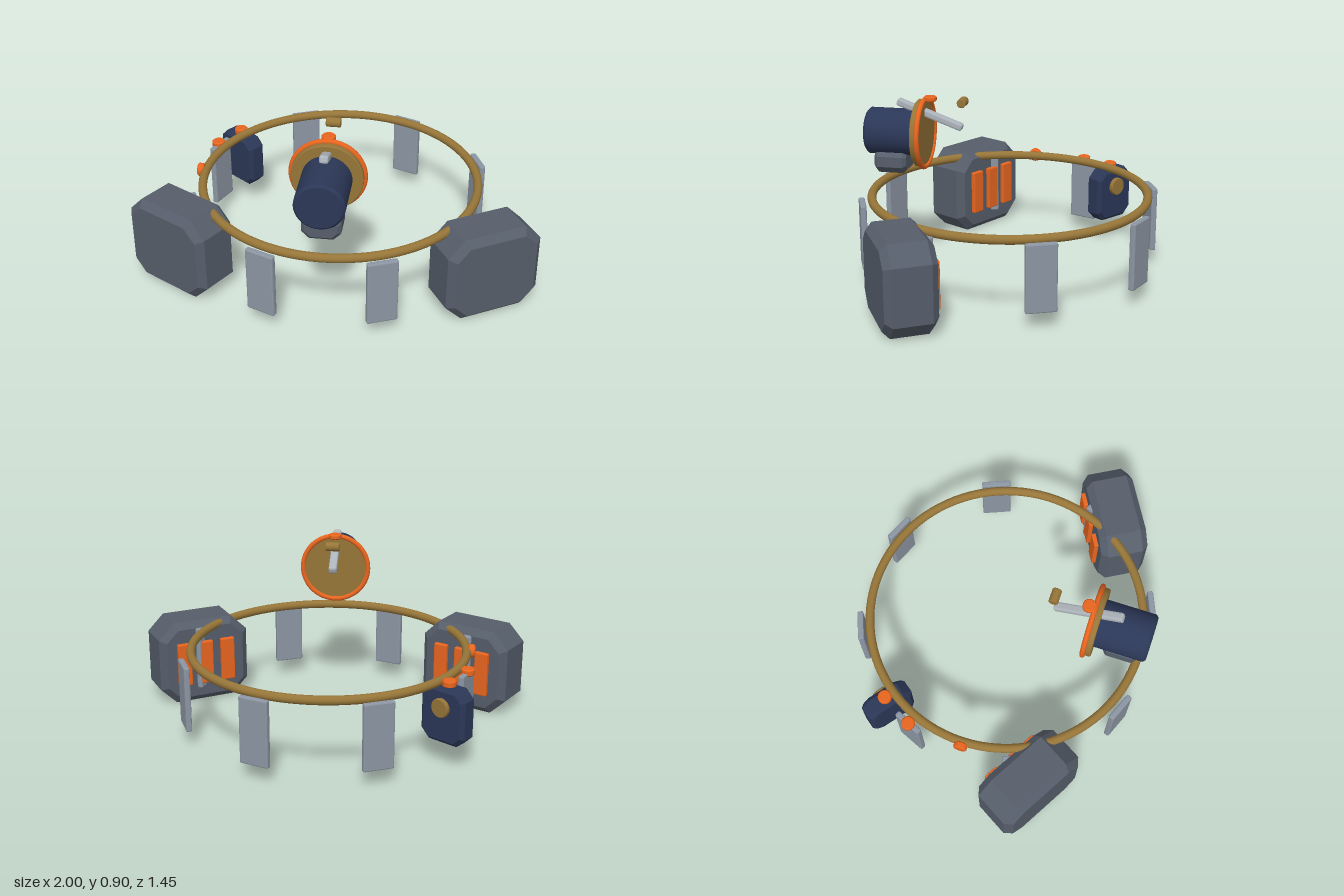
import * as THREE from 'three';
import { RoundedBoxGeometry } from 'three/addons/geometries/RoundedBoxGeometry.js';

const mat = (color, flatShading = false) => {
  const m = new THREE.MeshStandardMaterial({ flatShading });
  m.color.set(color);
  return m;
};
const gold = mat(0x967538), orange = mat(0xe8651f), navy = mat(0x2b3757);
const navyFlat = mat(0x2b3757, true), slate = mat(0x565e6b, true), steel = mat(0x8c96a3, true);
const silver = mat(0xadb4bb, true), orangeFlat = mat(0xe8651f, true);

function add(parent, name, geometry, material, x = 0, y = 0, z = 0) {
  const mesh = new THREE.Mesh(geometry, material);
  mesh.name = name;
  mesh.position.set(x, y, z);
  parent.add(mesh);
  return mesh;
}

// Eight-sided block with bevelled front and back, centred on the origin
function chamferBlock(w, h, d, cut, bevel) {
  const a = w / 2 - bevel, b = h / 2 - bevel, c = cut - bevel * 0.586;
  const pts = [[a, -b + c], [a, b - c], [a - c, b], [-a + c, b], [-a, b - c], [-a, -b + c], [-a + c, -b], [a - c, -b]];
  const shape = new THREE.Shape(pts.map(([x, y]) => new THREE.Vector2(x, y)));
  const g = new THREE.ExtrudeGeometry(shape, {
    depth: d - 2 * bevel, bevelEnabled: true, bevelSize: bevel, bevelThickness: bevel, bevelSegments: 1,
  });
  return g.translate(0, 0, -(d - 2 * bevel) / 2);
}

// Solid disc or drum with a slightly eased rim, along the y axis
function drum(r, h, ease) {
  const k = h / 2;
  const profile = [[0, -k], [r - ease, -k], [r - ease, -k], [r, -k + ease], [r, -k + ease],
    [r, k - ease], [r, k - ease], [r - ease, k], [r - ease, k], [0, k]];
  // Separate bands keep the rim edges crisp
  const g = new THREE.LatheGeometry(profile.map(([x, y]) => new THREE.Vector2(x, y)), 40);
  const n = g.attributes.normal, s = Math.SQRT1_2;
  const bands = [[0, -1], [0, -1], [s, -s], [s, -s], [1, 0], [1, 0], [s, s], [s, s], [0, 1], [0, 1]];
  for (let i = 0; i < n.count; i++) {
    const [out, up] = bands[i % 10], phi = Math.floor(i / 10) / 40 * Math.PI * 2;
    n.setXYZ(i, out * Math.sin(phi), up, out * Math.cos(phi));
  }
  return g;
}

export function createModel() {
  const model = new THREE.Group();
  model.name = 'ringStation';

  // Main ring
  add(model, 'ring', new THREE.TorusGeometry(0.692, 0.022, 16, 96).rotateX(Math.PI / 2), gold, 0, 0.422, 0);

  // Eight hanging panels
  const panelGeo = new RoundedBoxGeometry(0.15, 0.335, 0.03, 1, 0.007);
  for (let i = 0; i < 8; i++) {
    const t = (i + 0.5) * Math.PI / 4;
    add(model, 'hangingPanel', panelGeo, steel, 0.74 * Math.sin(t), 0.2525, 0.74 * Math.cos(t)).rotation.y = t;
  }

  // Two large pods with three slats on their inner faces
  const podGeo = chamferBlock(0.49, 0.45, 0.25, 0.085, 0.034);
  const slatGeo = new RoundedBoxGeometry(0.075, 0.235, 0.03, 1, 0.006);
  for (const side of [-1, 1]) {
    const pod = new THREE.Group();
    pod.name = side > 0 ? 'leftPod' : 'rightPod';
    pod.position.set(side * 0.742, 0.228, 0.358);
    pod.rotation.y = side * Math.PI / 6;
    add(pod, 'podBody', podGeo, slate);
    for (const x of [-0.12, 0, 0.12]) add(pod, 'podSlat', slatGeo, orangeFlat, x, 0, -0.132);
    model.add(pod);
  }

  // Small control box with a round dial
  const box = new THREE.Group();
  box.name = 'controlBox';
  box.position.set(-0.596, 0.268, -0.433);
  box.rotation.y = -0.65;
  add(box, 'controlBody', chamferBlock(0.25, 0.28, 0.1, 0.045, 0.018), navyFlat);
  add(box, 'dial', drum(0.047, 0.03, 0.004).rotateX(Math.PI / 2), gold, 0, 0.045, -0.055);
  model.add(box);

  // Buttons along the ring
  const buttonGeo = drum(0.034, 0.034, 0.006);
  add(model, 'ringButton', buttonGeo, orange, -0.6, 0.422, -0.435);
  add(model, 'ringButton', buttonGeo, orange, -0.69, 0.422, -0.28);
  add(model, 'sideButton', buttonGeo, orange, -0.717, 0.422, 0).rotation.z = Math.PI / 2;

  // Drum unit above the front of the ring
  const unit = new THREE.Group();
  unit.name = 'drumUnit';
  unit.position.y = 0.711;
  add(unit, 'drumBody', drum(0.118, 0.27, 0.012).rotateX(Math.PI / 2), navy, 0, 0, 0.594);
  add(unit, 'facePlate', drum(0.17, 0.042, 0.004).rotateX(Math.PI / 2), gold, 0, 0, 0.452);
  add(unit, 'faceRim', new THREE.TorusGeometry(0.172, 0.013, 12, 64), orange, 0, 0, 0.434);
  add(unit, 'drumFoot', chamferBlock(0.184, 0.125, 0.165, 0.036, 0.018), slate, 0, -0.14, 0.602);
  add(unit, 'topButton', drum(0.033, 0.025, 0.005), orange, 0, 0.178, 0.406);

  // Tilted arm and the short crossbar at its end
  add(unit, 'arm', new RoundedBoxGeometry(0.043, 0.038, 0.355, 1, 0.01), silver, 0, 0.097, 0.408).rotation.x = -0.35;
  add(unit, 'crossbar', drum(0.023, 0.07, 0.003).rotateZ(Math.PI / 2), gold, 0, 0.167, 0.239);
  model.add(unit);

  return model;
}
